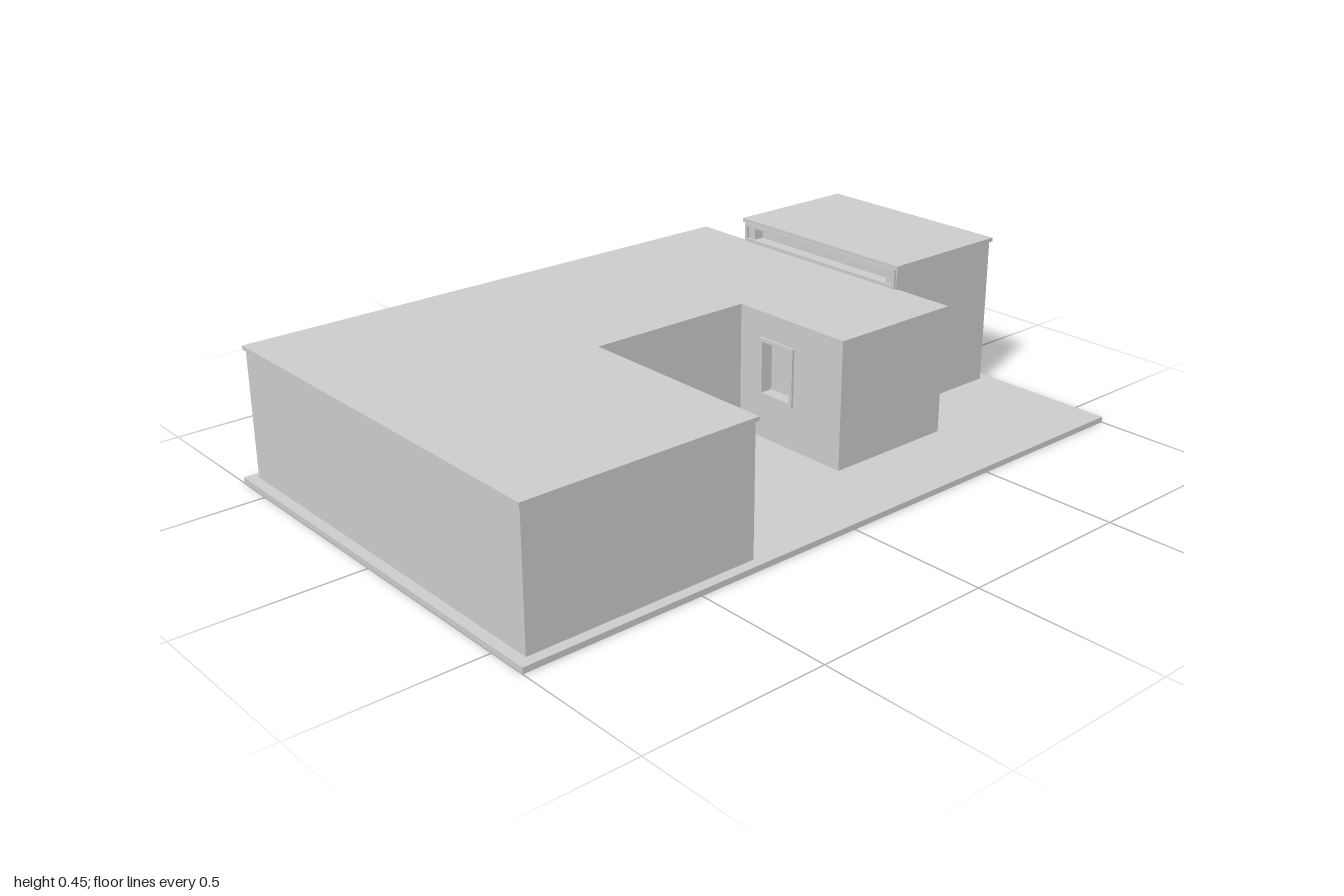
import * as THREE from 'three';

const BASE = 0.016, WALL = 0.04, LIP = 0.006, ROOF = 0.011;

const rectPoints = (x0, y0, x1, y1) => [[x0, y0], [x1, y0], [x1, y1], [x0, y1]].map(p => new THREE.Vector2(...p));

// Rectangular panel in the XY plane with an optional rectangular opening
function panel([x0, y0, x1, y1], hole, depth, z) {
  const shape = new THREE.Shape(rectPoints(x0, y0, x1, y1));
  if (hole) shape.holes.push(new THREE.Path(rectPoints(...hole)));
  const geo = new THREE.ExtrudeGeometry(shape, { depth, bevelEnabled: false });
  geo.translate(0, 0, z);
  return geo;
}

export function createModel() {
  const model = new THREE.Group();
  model.name = 'house';
  const grey = new THREE.MeshStandardMaterial({ color: 0xcccccc });
  grey.name = 'light grey';

  const add = (parent, name, geo) => {
    const mesh = new THREE.Mesh(geo, grey);
    mesh.name = name;
    parent.add(mesh);
    return mesh;
  };

  // One straight wall from a to b; outside is local +z. Window: [u0, y0, u1, y1]
  function wall(parent, a, b, top, win) {
    const dx = b[0] - a[0], dz = b[1] - a[1];
    const g = new THREE.Group();
    g.name = 'wallSection';
    g.position.set(a[0], 0, a[1]);
    g.rotation.y = Math.atan2(-dz, dx);
    parent.add(g);
    let hole = null;
    if (win) {
      const f = 0.01;
      hole = [win[0] + f, win[1] + f, win[2] - f, win[3] - f];
      add(g, 'windowFrame', panel(win, hole, 0.012, -0.005));
      add(g, 'windowPane', panel(hole, null, 0.006, -0.036));
    }
    add(g, 'wall', panel([0, BASE, Math.hypot(dx, dz), top], hole, WALL, -WALL));
  }

  // Walls around an outline, capped by a slightly overhanging flat roof
  function block(name, pts, height, windows) {
    const g = new THREE.Group();
    g.name = name;
    model.add(g);
    const n = pts.length;
    const normal = i => {
      const a = pts[i], b = pts[(i + 1) % n];
      return [-Math.sign(b[1] - a[1]), Math.sign(b[0] - a[0])];
    };
    pts.forEach((p, i) => wall(g, p, pts[(i + 1) % n], height - ROOF, windows[i]));
    const edge = pts.map((p, i) => {
      const m = normal((i + n - 1) % n), k = normal(i);
      return new THREE.Vector2(p[0] + LIP * (m[0] + k[0]), -(p[1] + LIP * (m[1] + k[1])));
    });
    const roof = new THREE.ExtrudeGeometry(new THREE.Shape(edge), { depth: ROOF, bevelEnabled: false });
    roof.rotateX(-Math.PI / 2);
    add(g, 'roof', roof).position.y = height - ROOF;
  }

  // Ground slab
  add(model, 'groundSlab', new THREE.BoxGeometry(2, BASE, 1.225)).position.y = BASE / 2;

  // Low U-shaped main building, with a courtyard window and a rear window
  block('mainBuilding', [
    [-0.97, 0.583], [-0.314, 0.583], [-0.314, -0.004], [0.186, -0.004],
    [0.186, 0.374], [0.577, 0.374], [0.577, -0.587], [-0.97, -0.587],
  ], 0.381, {
    3: [0.08, 0.14, 0.205, 0.306],
    6: [0.65, 0.152, 0.775, 0.29],
  });

  // Taller side block, with a front window and a strip window above the low roof
  block('tallBlock', [
    [0.575, 0.2], [0.966, 0.2], [0.966, -0.405], [0.575, -0.405],
  ], 0.452, {
    0: [0.065, 0.171, 0.151, 0.31],
    3: [0.003, 0.384, 0.602, 0.44],
  });

  return model;
}
